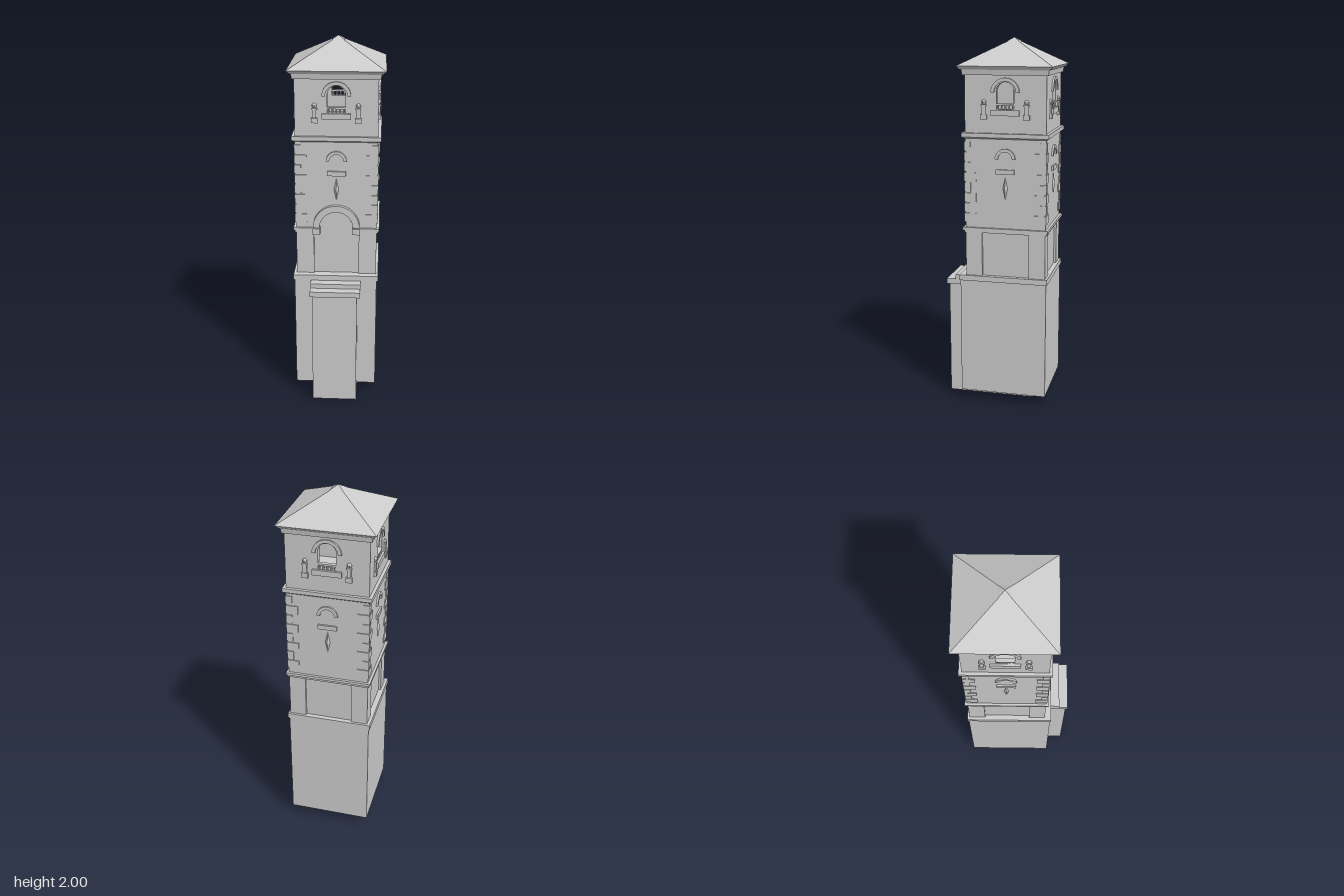
import * as THREE from 'three';

const mat = new THREE.MeshStandardMaterial({ color: 0xcccccc, flatShading: true });
const W = 0.218;      // half width of the tower walls
const CORE = 0.205;   // half width of the recessed core

function add(parent, name, geo) {
  const m = new THREE.Mesh(geo, mat);
  m.name = name;
  parent.add(m);
  return m;
}
// Box given by its limits
function box(parent, name, x0, x1, y0, y1, z0, z1) {
  const m = add(parent, name, new THREE.BoxGeometry(x1 - x0, y1 - y0, z1 - z0));
  m.position.set((x0 + x1) / 2, (y0 + y1) / 2, (z0 + z1) / 2);
  return m;
}
// Square block whose half width changes from bottom to top
function frustum(parent, name, h0, h1, y0, y1) {
  const g = new THREE.CylinderGeometry(h1 * Math.SQRT2, h0 * Math.SQRT2, y1 - y0, 4);
  g.rotateY(Math.PI / 4);
  g.translate(0, (y0 + y1) / 2, 0);
  return add(parent, name, g);
}
// Flat shape pushed out between two depths
function slab(parent, name, shape, z0, z1) {
  const g = new THREE.ExtrudeGeometry(shape, { depth: z1 - z0, bevelEnabled: false, curveSegments: 16 });
  g.translate(0, 0, z0);
  return add(parent, name, g);
}
function halfRing(r0, r1, y) {
  const s = new THREE.Shape();
  s.absarc(0, y, r1, 0, Math.PI, false);
  s.absarc(0, y, r0, Math.PI, 0, true);
  return s;
}
function rect(w, y0, y1) {
  return new THREE.Shape([[-w, y0], [w, y0], [w, y1], [-w, y1]].map(p => new THREE.Vector2(...p)));
}
function archPath(r, y0, yc) {
  const p = new THREE.Path();
  p.moveTo(-r, y0);
  p.lineTo(r, y0);
  p.absarc(0, yc, r, 0, Math.PI, false);
  p.lineTo(-r, y0);
  return p;
}

// Open bell storey side: arched opening, hood, balustrade and small posts
function belfrySide(face) {
  const wall = rect(W, 1.5, 1.82);
  wall.holes.push(archPath(0.047, 1.635, 1.728));
  slab(face, 'belfryWall', wall, W - 0.03, W);
  slab(face, 'belfryHood', halfRing(0.058, 0.076, 1.722), W - 0.005, W + 0.01);
  box(face, 'balconySill', -0.076, 0.076, 1.602, 1.632, W - 0.03, W + 0.012);
  box(face, 'balconyRail', -0.047, 0.047, 1.655, 1.665, W - 0.018, W + 0.004);
  for (let i = -2; i <= 2; i++) {
    const b = add(face, 'baluster', new THREE.CylinderGeometry(0.004, 0.006, 0.03, 6));
    b.position.set(i * 0.02, 1.643, W - 0.007);
  }
  for (const s of [-1, 1]) {
    const x = s * 0.114;
    box(face, 'postBase', x - 0.017, x + 0.017, 1.582, 1.608, W - 0.005, W + 0.013);
    box(face, 'postShaft', x - 0.01, x + 0.01, 1.608, 1.652, W - 0.005, W + 0.009);
    box(face, 'postCap', x - 0.014, x + 0.014, 1.652, 1.66, W - 0.005, W + 0.011);
    const ball = add(face, 'postBall', new THREE.SphereGeometry(0.013, 10, 8));
    ball.position.set(x, 1.672, W);
  }
}

// Middle storey ornament: lens, sill, blind arch and corner quoins
function middleSide(face) {
  const lens = add(face, 'lensOrnament', new THREE.OctahedronGeometry(1));
  lens.scale.set(0.013, 0.06, 0.012);
  lens.position.set(0, 1.218, W);
  box(face, 'windowSill', -0.05, 0.05, 1.295, 1.32, W - 0.005, W + 0.01);
  slab(face, 'blindArch', halfRing(0.038, 0.055, 1.375), W - 0.005, W + 0.01);
  for (const s of [-1, 1]) {
    for (let i = 0; i < 8; i++) {
      const len = i % 2 ? 0.035 : 0.065, y = 1.03 + i * 0.055;
      const end = W + 0.005, a = s * (end - len), b = s * end;
      box(face, 'quoin', Math.min(a, b), Math.max(a, b), y, y + 0.048, W - 0.01, W + 0.005);
    }
  }
}

// Panelled storey side and the moulding above; the front is left open for the portal
function lowerSide(face, isFront) {
  const w = isFront ? 0.122 : 0.128;
  for (const s of [-1, 1]) {
    const a = s * w, b = s * W;
    box(face, 'panelPier', Math.min(a, b), Math.max(a, b), 0.72, 0.98, CORE - 0.01, W);
  }
  const wall = new THREE.Shape();
  wall.moveTo(-W, 0.985);
  if (isFront) {
    wall.lineTo(-0.09, 0.985);
    wall.lineTo(-0.09, 1.005);
    wall.absarc(0, 1.005, 0.09, Math.PI, 0, true);
    wall.lineTo(0.09, 0.985);
  }
  wall.lineTo(W, 0.985);
  wall.lineTo(W, 1.49);
  wall.lineTo(-W, 1.49);
  slab(face, 'middleWall', wall, CORE - 0.01, W);
  const spans = isFront ? [[-0.232, -0.12], [0.12, 0.232]] : [[-0.232, 0.232]];
  for (const [a, b] of spans) {
    box(face, 'stringCourse', a, b, 0.985, 1.0, W - 0.02, 0.232);
    box(face, 'stringCourseFoot', Math.max(a, -0.225), Math.min(b, 0.225), 0.972, 0.985, W - 0.02, 0.225);
  }
}

export function createModel() {
  const model = new THREE.Group();
  model.name = 'tower';

  // Plinth and entrance stair block
  box(model, 'base', -0.228, 0.222, 0.055, 0.71, -0.275, 0.2);
  box(model, 'stairBlock', -0.127, 0.117, 0, 0.65, -0.18, 0.295);
  box(model, 'lowerStep', -0.138, 0.135, 0.645, 0.675, 0.1, 0.305);
  box(model, 'upperStep', -0.138, 0.135, 0.675, 0.7, 0.1, 0.255);
  box(model, 'baseCornice', -0.235, 0.23, 0.7, 0.73, -0.281, 0.205);

  const shaft = new THREE.Group();
  shaft.name = 'shaft';
  shaft.position.z = -0.05;
  model.add(shaft);
  frustum(shaft, 'core', CORE, CORE, 0.72, 1.49);
  frustum(shaft, 'belfryCorniceFoot', 0.224, 0.234, 1.48, 1.488);
  frustum(shaft, 'belfryCornice', 0.235, 0.235, 1.488, 1.51);

  ['front', 'left', 'back', 'right'].forEach((name, i) => {
    const face = new THREE.Group();
    face.name = name + 'Side';
    face.rotation.y = i * Math.PI / 2;
    shaft.add(face);
    lowerSide(face, i === 0);
    middleSide(face);
    belfrySide(face);
  });

  // Arched portal
  const portal = new THREE.Group();
  portal.name = 'portal';
  shaft.add(portal);
  slab(portal, 'portalArch', halfRing(0.09, 0.126, 1.005), CORE - 0.005, 0.24);
  const lunette = new THREE.Shape();
  lunette.absarc(0, 1.025, 0.078, 0.06, Math.PI - 0.06, false);
  slab(portal, 'lunette', lunette, CORE - 0.005, CORE + 0.006);
  for (const s of [-1, 1]) {
    const x = s * 0.108;
    box(portal, 'impost', x - 0.021, x + 0.021, 0.967, 1.0, CORE - 0.005, 0.242);
  }

  // Roof
  frustum(shaft, 'roofCornice', 0.228, 0.232, 1.81, 1.838);
  frustum(shaft, 'eave', 0.238, 0.255, 1.838, 1.856);
  frustum(shaft, 'roof', 0.255, 0.0001, 1.856, 1.995);
  frustum(shaft, 'roofCap', 0.034, 0.0001, 1.979, 2.0);
  return model;
}
